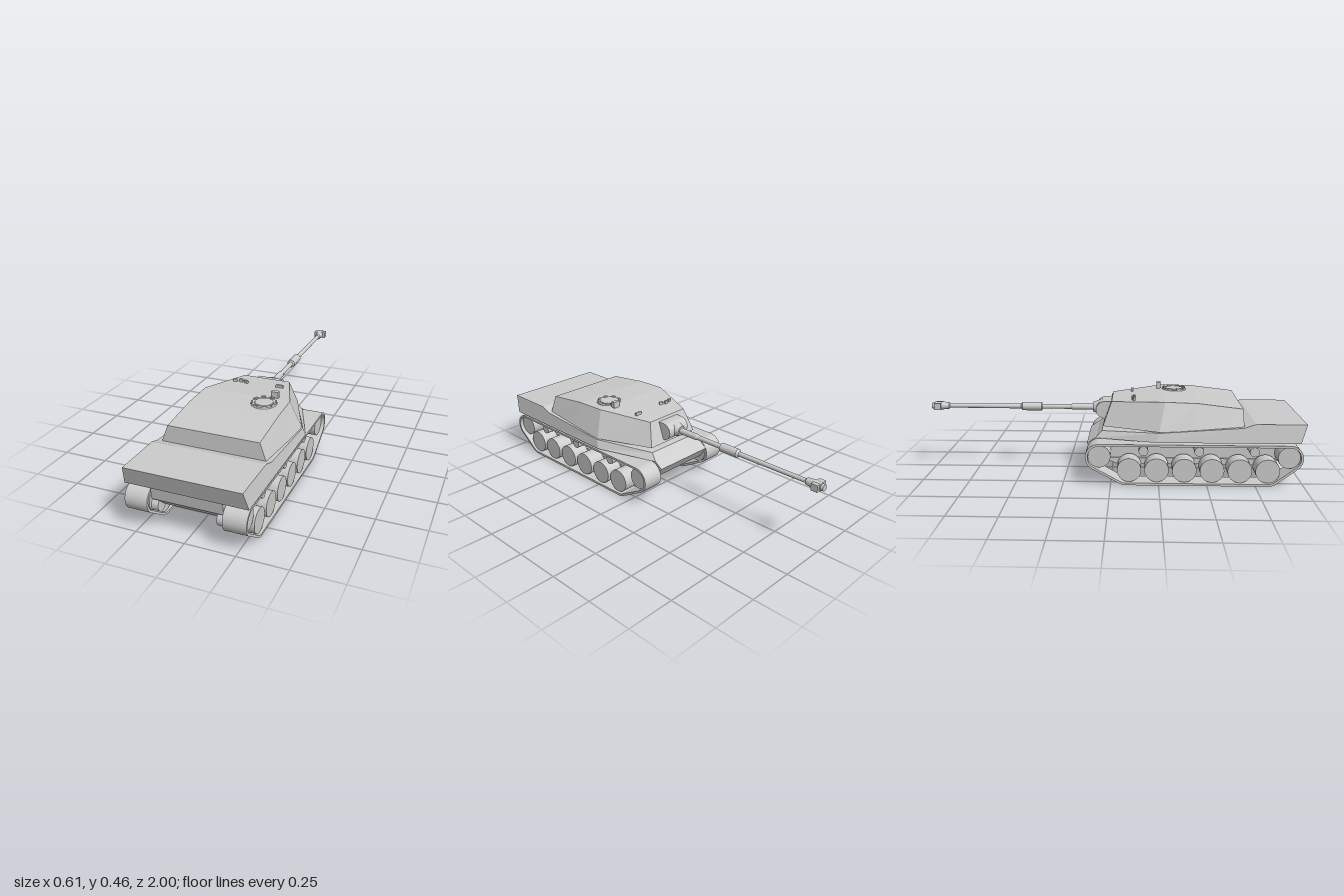
import * as THREE from 'three';

const mat = new THREE.MeshStandardMaterial({ color: 0xcccccc, flatShading: true, side: THREE.DoubleSide });
const smooth = new THREE.MeshStandardMaterial({ color: 0xcccccc });

function add(parent, name, geo, x = 0, y = 0, z = 0, m = mat) {
  const mesh = new THREE.Mesh(geo, m);
  mesh.name = name;
  mesh.position.set(x, y, z);
  parent.add(mesh);
  return mesh;
}

// Body from trapezoid sections, rear to front: [zBottom, yBottom, halfWidthBottom, zTop, yTop, halfWidthTop]
function loft(sections) {
  const pos = [], idx = [], last = 4 * (sections.length - 1);
  for (const [zb, yb, wb, zt, yt, wt] of sections)
    pos.push(-wb, yb, zb, wb, yb, zb, wt, yt, zt, -wt, yt, zt);
  for (let i = 0; i < last; i += 4)
    for (let j = 0; j < 4; j++) {
      const a = i + j, b = i + (j + 1) % 4;
      idx.push(a, a + 4, b + 4, a, b + 4, b);
    }
  idx.push(0, 1, 2, 0, 2, 3, last, last + 2, last + 1, last, last + 3, last + 2);
  const g = new THREE.BufferGeometry();
  g.setAttribute('position', new THREE.Float32BufferAttribute(pos, 3));
  g.setIndex(idx);
  const flat = g.toNonIndexed();
  flat.computeVertexNormals();
  return flat;
}

// Side profile in (z, y), extruded across x from x0 to x1
function extrudeX(shape, x0, x1) {
  const g = new THREE.ExtrudeGeometry(shape, { depth: x1 - x0, bevelEnabled: false });
  return g.rotateY(-Math.PI / 2).translate(x1, 0, 0);
}

const points = (list) => list.map(([a, b]) => new THREE.Vector2(a, b));
const drum = (r, w, n = 32) => new THREE.CylinderGeometry(r, r, w, n).rotateZ(Math.PI / 2);

// Belt outline wrapped around circles [z, y, r]
function belt(circles, grow) {
  const out = [];
  for (let i = 0; i < 96; i++) {
    const t = (i / 96) * Math.PI * 2, c = Math.cos(t), s = Math.sin(t);
    let best = null, reach = -Infinity;
    for (const [z, y, r] of circles)
      if (z * c + y * s + r > reach) { reach = z * c + y * s + r; best = [z, y, r]; }
    out.push(new THREE.Vector2(best[0] + (best[2] + grow) * c, best[1] + (best[2] + grow) * s));
  }
  return out;
}

export function createModel() {
  const model = new THREE.Group();
  model.name = 'tank';

  // Hull
  const hull = new THREE.Group();
  hull.name = 'hull';
  model.add(hull);
  add(hull, 'upperHull', loft([
    [0.97, 0.233, 0.305, 1.0, 0.33, 0.29],
    [0.74, 0.233, 0.305, 0.74, 0.33, 0.29],
    [0.68, 0.233, 0.305, 0.68, 0.31, 0.293],
    [0.23, 0.233, 0.305, 0.25, 0.28, 0.295],
    [-0.085, 0.22, 0.178, -0.05, 0.257, 0.165],
  ]));
  add(hull, 'lowerHull', extrudeX(new THREE.Shape(points([
    [0.965, 0.24], [0.955, 0.168], [0.9, 0.115], [0.85, 0.083], [0.03, 0.083],
    [-0.09, 0.13], [-0.13, 0.19], [-0.085, 0.222], [0.0, 0.24],
  ])), -0.178, 0.178));
  add(hull, 'bellyPlate', extrudeX(new THREE.Shape(points([
    [0.88, 0.115], [0.84, 0.083], [0.03, 0.083], [-0.05, 0.115],
  ])), -0.19, 0.19));

  // Running gear, one set for each side
  const ends = [[0.92, 0.15, 0.058], [-0.06, 0.148, 0.06]];
  const path = [...ends, [0.813, 0.077, 0.065], [0.08, 0.077, 0.065]];
  const trackShape = new THREE.Shape(belt(path, 0.012));
  trackShape.holes.push(new THREE.Path(belt(path, 0).reverse()));
  for (const [side, s] of [['left', 1], ['right', -1]]) {
    const gear = new THREE.Group();
    gear.name = side + 'RunningGear';
    model.add(gear);
    add(gear, 'track', s > 0 ? extrudeX(trackShape, 0.185, 0.3) : extrudeX(trackShape, -0.3, -0.185));
    for (let i = 0; i < 6; i++)
      add(gear, 'roadWheel', drum(0.063, 0.095), s * 0.24, 0.078, 0.813 - i * 0.1434);
    for (const z of [0.743, 0.458, 0.17])
      add(gear, 'returnRoller', drum(0.025, 0.1, 20), s * 0.23, 0.178, z);
    for (const [z, y, r] of ends)
      add(gear, z > 0 ? 'driveWheel' : 'idlerWheel', drum(r - 0.001, 0.1), s * 0.23, y, z);
    add(gear, 'finalDrive', drum(0.037, 0.05), s * 0.17, 0.132, 0.925);
  }

  // Turret
  const turret = new THREE.Group();
  turret.name = 'turret';
  model.add(turret);
  add(turret, 'turretBody', loft([
    [0.685, 0.3, 0.272, 0.68, 0.397, 0.236],
    [0.45, 0.29, 0.283, 0.45, 0.424, 0.236],
    [0.25, 0.283, 0.29, 0.28, 0.429, 0.234],
    [-0.045, 0.282, 0.165, 0.0, 0.407, 0.13],
  ]));

  // Gun mantlet and its tapered collar
  add(turret, 'mantlet', drum(0.047, 0.14), 0, 0.346, -0.04);
  add(turret, 'mantletBlock', new THREE.BoxGeometry(0.14, 0.094, 0.06), 0, 0.346, -0.01);
  add(turret, 'gunCollar', new THREE.CylinderGeometry(0.045, 0.026, 0.05, 24).rotateX(Math.PI / 2), 0, 0.348, -0.082);

  // Barrel turned around its axis: [radius, distance forward]
  const barrel = new THREE.LatheGeometry(points([
    [0, 0.05], [0.017, 0.05], [0.017, 0.22], [0.013, 0.23], [0.013, 0.385], [0.023, 0.39], [0.023, 0.495],
    [0.013, 0.505], [0.0115, 0.9], [0.018, 0.905], [0.022, 0.945], [0.022, 0.985], [0.017, 0.987], [0.017, 1.0], [0, 1.0],
  ]), 24).rotateX(-Math.PI / 2);
  add(turret, 'barrel', barrel, 0, 0.348, 0);
  add(turret, 'muzzleBrake', new THREE.BoxGeometry(0.07, 0.036, 0.036), 0, 0.348, -0.965);

  // Commander's cupola with a ring of vision blocks
  const cupola = new THREE.Group();
  cupola.name = 'cupola';
  cupola.position.set(0.12, 0, 0.34);
  turret.add(cupola);
  add(cupola, 'cupolaRing', new THREE.CylinderGeometry(0.064, 0.071, 0.014, 32), 0, 0.425, 0);
  add(cupola, 'cupolaHatch', new THREE.CylinderGeometry(0.046, 0.05, 0.008, 24), 0, 0.431, 0);
  for (let i = 0; i < 8; i++) {
    const t = ((i + 0.5) / 8) * Math.PI * 2;
    const block = add(cupola, 'visionBlock', new THREE.BoxGeometry(0.022, 0.014, 0.01),
      0.059 * Math.sin(t), 0.432, 0.059 * Math.cos(t));
    block.rotation.y = t;
  }
  add(turret, 'sight', new THREE.BoxGeometry(0.038, 0.045, 0.022), 0.147, 0.438, 0.255);

  // Roof periscopes
  for (const [x, z, turn] of [[-0.135, 0.118, 0.35], [-0.103, 0.11, 0], [-0.071, 0.118, -0.35]])
    add(turret, 'periscope', new THREE.BoxGeometry(0.021, 0.018, 0.011), x, 0.423, z).rotation.y = turn;
  add(turret, 'gunnerPeriscope', new THREE.BoxGeometry(0.04, 0.018, 0.012), 0.115, 0.421, 0.107);

  return model;
}
